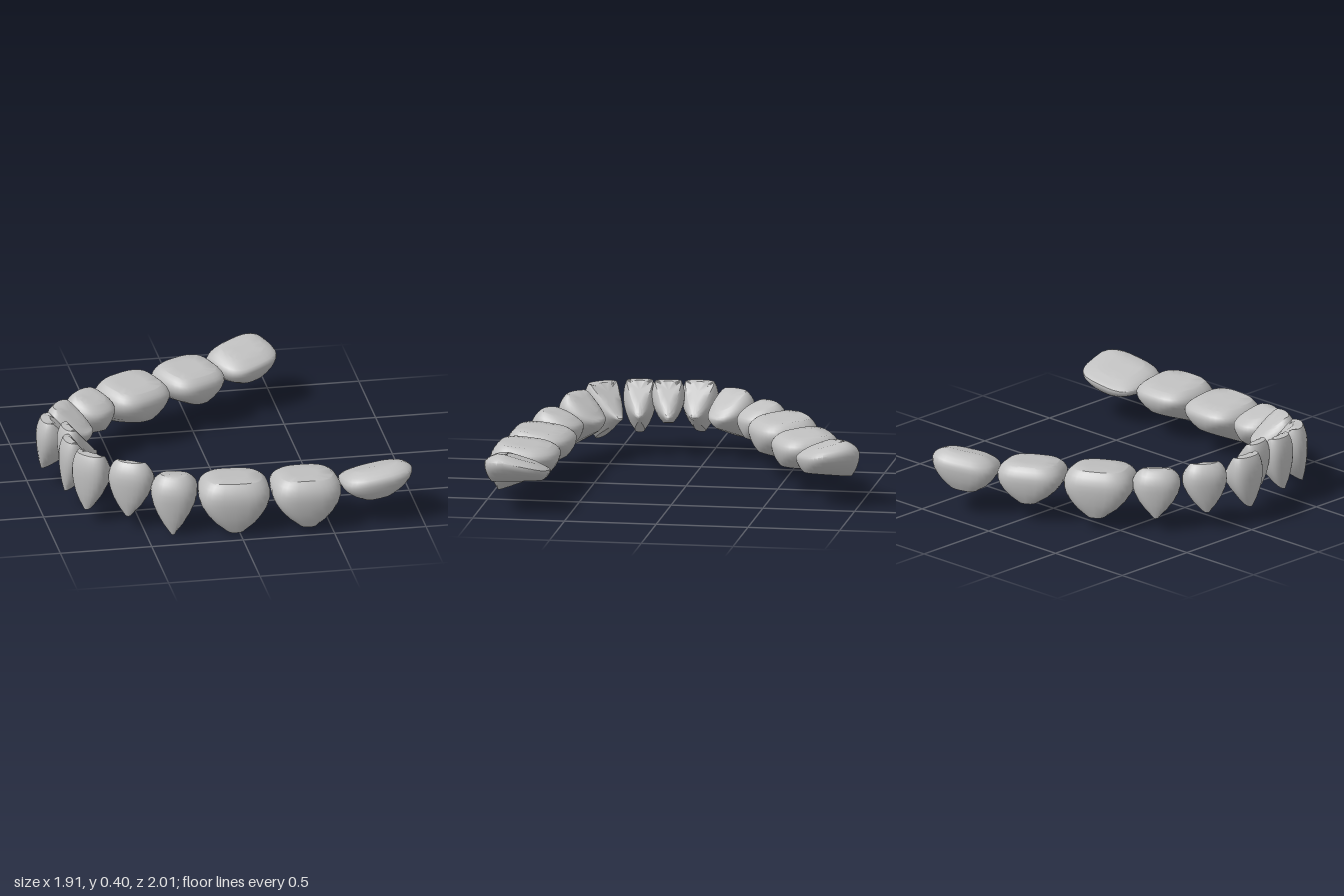
import * as THREE from 'three';
import { toCreasedNormals } from 'three/addons/utils/BufferGeometryUtils.js';

// Per kind: outline squareness, narrowing toward the tongue, gum tip width, biting edge scale,
// drop of the biting face toward the tongue, gum height on the tongue side, slope along x
const KINDS = {
  backMolar: { power: 3, pinch: 0.1, tip: 0.5, edge: 0.6, drop: 0.06, gum: 0.17, slope: 0.15 },
  molar: { power: 3, pinch: 0.1, tip: 0.36, edge: 0.75, drop: 0.02, gum: 0.145, slope: 0 },
  premolar: { power: 2.4, pinch: 0.15, tip: 0.2, edge: 0.6, drop: 0.045, gum: 0.16, slope: 0 },
  canine: { power: 2.3, pinch: 0.4, tip: 0.25, edge: 0.65, drop: 0.11, gum: 0.18, slope: 0 },
  incisor: { power: 2.3, pinch: 0.8, tip: 0.3, edge: 0.8, drop: 0.155, gum: 0.2, slope: 0 },
};

// Along the arch: name, kind, centre x, centre z, half width, half depth, top, bottom
const TEETH = [
  ['rightBackMolar', 'backMolar', 0.33, -0.825, 0.187, 0.157, 0.35, 0.155],
  ['rightMiddleMolar', 'molar', 0.005, -0.65, 0.19, 0.172, 0.32, 0.11],
  ['rightFrontMolar', 'molar', -0.335, -0.475, 0.2, 0.175, 0.33, 0.07],
  ['rightRearPremolar', 'premolar', -0.595, -0.315, 0.14, 0.13, 0.345, 0.08],
  ['rightFrontPremolar', 'canine', -0.745, -0.115, 0.145, 0.13, 0.37, 0.1],
  ['rightCanine', 'incisor', -0.835, 0.07, 0.137, 0.125, 0.385, 0.1],
  ['rightIncisor', 'incisor', -0.76, 0.22, 0.123, 0.11, 0.4, 0.16],
  ['middleIncisor', 'incisor', -0.78, 0.38, 0.123, 0.11, 0.395, 0.1],
  ['leftIncisor', 'incisor', -0.715, 0.54, 0.145, 0.13, 0.39, 0.075],
  ['leftCanine', 'canine', -0.535, 0.645, 0.148, 0.125, 0.375, 0.07],
  ['leftPremolar', 'premolar', -0.33, 0.755, 0.135, 0.142, 0.325, 0],
  ['leftFrontMolar', 'molar', -0.015, 0.79, 0.203, 0.18, 0.295, 0.015],
  ['leftMiddleMolar', 'molar', 0.37, 0.815, 0.198, 0.185, 0.295, 0.03],
  ['leftBackMolar', 'backMolar', 0.755, 0.795, 0.203, 0.175, 0.31, 0.155],
];

const SEGMENTS = 32;
const LEVELS = 10;
const { lerp, clamp } = THREE.MathUtils;

// Rings of a crown from gum to biting face: height, width scale, depth scale
function crownRings({ tip, edge }) {
  const rings = [[0, 0, 0]];
  for (let k = 0; k <= LEVELS; k++) {
    const t = Math.sin((k / LEVELS) * Math.PI / 2);
    const flare = Math.sin(Math.min(1, t / 0.65) * Math.PI / 2) ** 0.8;
    const shoulder = Math.max(0, (t - 0.65) / 0.35);
    const round = Math.sqrt(1 - (1 - edge * edge) * shoulder ** 2);
    rings.push([t, lerp(tip, 1, flare) * round, lerp(0.8, 1, flare) * round]);
  }
  rings.push([1, edge * 0.5, edge * 0.5], [1, 0, 0]);
  return rings;
}

// Lofted crown with its outer face toward (ox, oz)
function toothGeometry(kind, ox, oz, width, depth, top, bottom) {
  const rings = crownRings(kind);
  const rounded = (c) => Math.sign(c) * Math.abs(c) ** (2 / kind.power);
  const pos = [], index = [];

  for (const [t, sw, sd] of rings) {
    for (let i = 0; i < SEGMENTS; i++) {
      const angle = (i / SEGMENTS) * Math.PI * 2;
      const out = rounded(Math.sin(angle));
      const side = rounded(Math.cos(angle)) * (1 - kind.pinch * (1 - out) / 2);
      const u = side * sw * width, v = out * sd * depth;
      const x = -oz * u + ox * v, z = ox * u + oz * v;
      // The gum face rises and the biting face falls toward the tongue
      const low = lerp(bottom, kind.gum, clamp((0.8 - out * sd) / 1.6, 0, 1));
      const high = top - kind.drop * clamp((0.35 - out * sd) / 1.2, 0, 1);
      pos.push(x, lerp(low, high, t) + kind.slope * x, z);
    }
  }
  for (let r = 0; r < rings.length - 1; r++) {
    for (let i = 0; i < SEGMENTS; i++) {
      const a = r * SEGMENTS + i, b = r * SEGMENTS + (i + 1) % SEGMENTS;
      const c = b + SEGMENTS, d = a + SEGMENTS;
      if (r > 0) index.push(a, b, d);
      if (r < rings.length - 2) index.push(b, c, d);
    }
  }
  const geo = new THREE.BufferGeometry();
  geo.setAttribute('position', new THREE.Float32BufferAttribute(pos, 3));
  geo.setIndex(index);
  return toCreasedNormals(geo, 0.7);
}

export function createModel() {
  const group = new THREE.Group();
  group.name = 'dentalArch';
  const enamel = new THREE.MeshStandardMaterial({ color: 0xc0c0c0 });
  enamel.name = 'enamelGrey';

  TEETH.forEach(([name, kind, x, z, ...size], i) => {
    // Each tooth faces square to the line between its neighbours
    const [, , px, pz] = TEETH[Math.max(0, i - 1)];
    const [, , nx, nz] = TEETH[Math.min(TEETH.length - 1, i + 1)];
    const span = Math.hypot(nx - px, nz - pz);
    const geo = toothGeometry(KINDS[kind], (pz - nz) / span, (nx - px) / span, ...size);
    const tooth = new THREE.Mesh(geo, enamel);
    tooth.name = name;
    tooth.position.set(x, 0, z);
    group.add(tooth);
  });
  return group;
}
